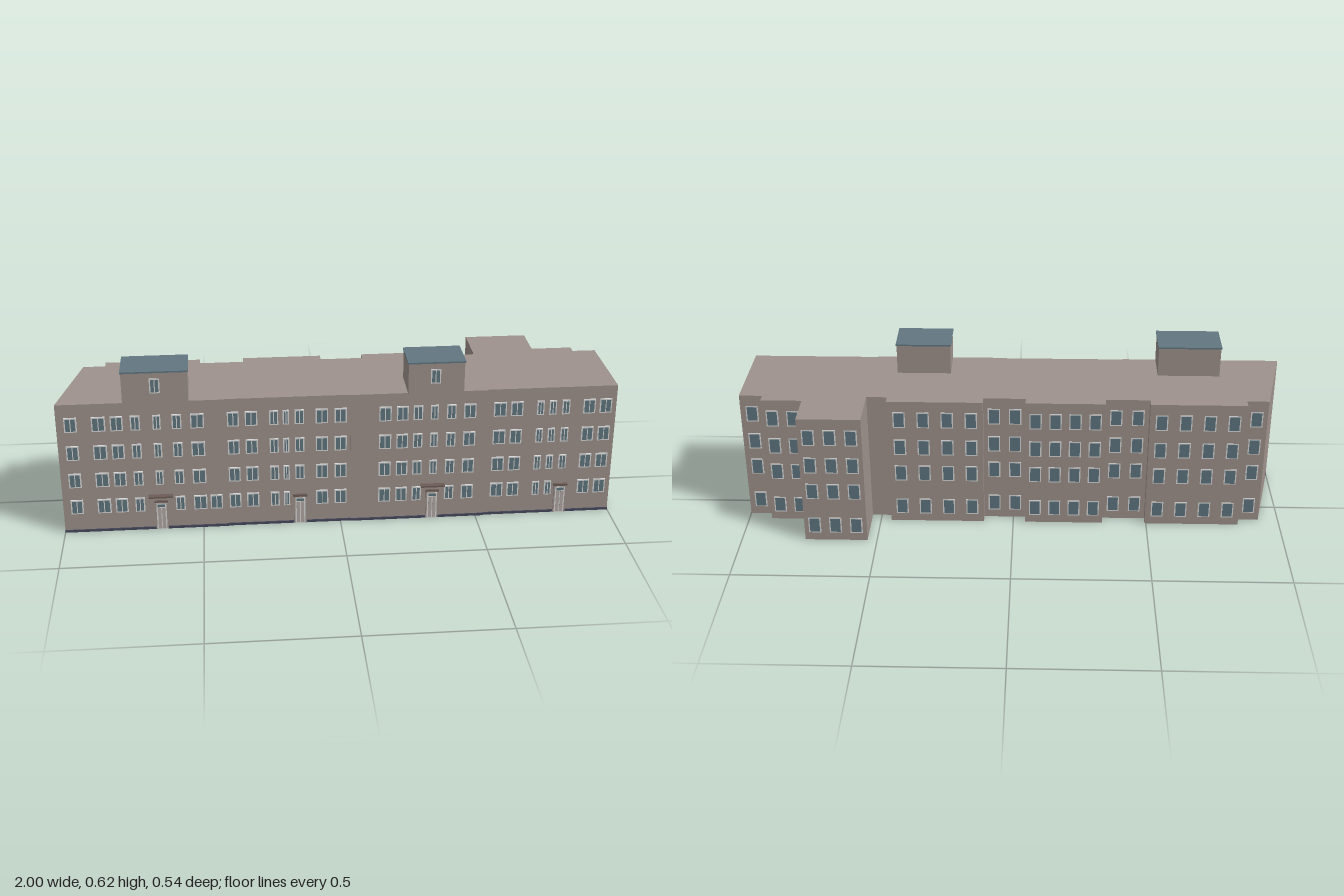
import * as THREE from 'three';
import { mergeGeometries } from 'three/addons/utils/BufferGeometryUtils.js';

const mat = (name, color) => {
  const m = new THREE.MeshStandardMaterial({ color });
  m.name = name;
  return m;
};

export function createModel() {
  const wall = mat('wall', 0x9d918c);
  const roofBlue = mat('roofBlue', 0x627781);
  const glass = mat('glass', 0x5f757f);
  const frame = mat('frame', 0xd6d7d6);
  const plinthBlue = mat('plinthBlue', 0x45485c);
  const doorGrey = mat('doorGrey', 0xb0a7a2);
  const trim = mat('trim', 0x6d5c56);
  const model = new THREE.Group();
  model.name = 'apartmentBlock';

  // Box given by its limits
  const box = (x0, x1, y0, y1, z0, z1) =>
    new THREE.BoxGeometry(x1 - x0, y1 - y0, z1 - z0)
      .translate((x0 + x1) / 2, (y0 + y1) / 2, (z0 + z1) / 2);
  const add = (name, geo, material, parent = model) => {
    const mesh = new THREE.Mesh(geo, material);
    mesh.name = name;
    parent.add(mesh);
    return mesh;
  };

  // Front sections, each slightly offset: x0, x1, z
  const sections = [[-1, -0.41, 0.247], [-0.41, 0.035, 0.244], [0.035, 0.53, 0.247], [0.53, 1, 0.243]];
  const frontZ = x => sections.find(s => x <= s[1])[2];
  // Rear bays: x0, x1, z, window columns
  const bays = [
    [-0.845, -0.495, -0.125, 4], [-0.335, -0.045, -0.125, 4], [0.11, 0.46, -0.125, 4],
    [0.535, 0.765, -0.265, 3], [0.765, 0.915, -0.125, 2],
  ];
  // Recessed rear walls: x0, x1, z, window columns
  const recesses = [[-0.925, -0.845, -0.09, 1], [-0.495, -0.335, -0.09, 2], [-0.045, 0.11, -0.09, 2], [0.915, 1, -0.09, 1]];

  // Main body extruded from its ground plan
  const plan = [];
  for (const [x0, x1, z] of sections) plan.push([x0, z], [x1, z]);
  plan.push([1, -0.09]);
  let lastZ = -0.09, lastX = 1;
  for (const [x0, x1, z] of [...bays].reverse()) {
    if (x1 < lastX) {
      if (lastZ !== -0.09) plan.push([lastX, -0.09]);
      plan.push([x1, -0.09]);
    }
    plan.push([x1, z], [x0, z]);
    lastX = x0;
    lastZ = z;
  }
  plan.push([lastX, -0.09], [-0.925, -0.09]);
  const shape = new THREE.Shape(plan.map(([x, z]) => new THREE.Vector2(x, -z)));
  add('body', new THREE.ExtrudeGeometry(shape, { depth: 0.505, bevelEnabled: false }).rotateX(-Math.PI / 2), wall);

  // Plinth strip along the front
  add('plinth', mergeGeometries(sections.map(([x0, x1, z]) => box(x0, x1, 0, 0.009, z - 0.01, z + 0.004))), plinthBlue);

  // Windows: a pale frame with thin panes of glass; dir is +1 for front, -1 for rear
  const frames = [], panes = [];
  const slab = (x0, x1, y0, y1, z, depth, dir) =>
    box(x0, x1, y0, y1, Math.min(z - 0.002 * dir, z + depth * dir), Math.max(z - 0.002 * dir, z + depth * dir));
  const addWindow = (x, y, w, h, z, dir, split, depth) => {
    const b = 0.0045, x0 = x - w / 2, x1 = x + w / 2;
    frames.push(slab(x0, x1, y - h / 2, y + h / 2, z, depth, dir));
    const cuts = split ? [[x0 + b, x - b * 0.4], [x + b * 0.4, x1 - b]] : [[x0 + b, x1 - b]];
    for (const [a, c] of cuts) panes.push(slab(a, c, y - h / 2 + b, y + h / 2 - b, z, depth + 0.0012, dir));
  };

  // Front window columns: x, width
  const doorXs = [-0.65, -0.147, 0.337, 0.815];
  const columns = [
    [-0.95, 0.044], [-0.853, 0.048], [-0.79, 0.044], [-0.725, 0.034], [-0.65, 0.028], [-0.58, 0.034],
    [-0.508, 0.048], [-0.382, 0.042], [-0.318, 0.044], [-0.238, 0.032], [-0.195, 0.022], [-0.147, 0.034],
    [-0.067, 0.044], [0, 0.044], [0.16, 0.044], [0.222, 0.042], [0.278, 0.034], [0.337, 0.028], [0.398, 0.034],
    [0.465, 0.044], [0.575, 0.046], [0.636, 0.044], [0.722, 0.026], [0.767, 0.026], [0.815, 0.028],
    [0.9, 0.044], [0.96, 0.044],
  ];
  const rows = [0.103, 0.209, 0.318, 0.428];
  for (const [x, w] of columns)
    rows.forEach((y, i) => {
      if (i > 0 || !doorXs.includes(x)) addWindow(x, y, w, 0.055, frontZ(x), 1, true, 0.006);
    });
  addWindow(-0.45, rows[0], 0.044, 0.055, frontZ(-0.45), 1, true, 0.006);

  // Rear windows spaced evenly over each bay and recess
  for (const [x0, x1, z, n] of [...bays, ...recesses])
    for (let i = 0; i < n; i++)
      for (const y of [0.064, 0.208, 0.317, 0.431])
        addWindow(x0 + (x1 - x0) * (i + 0.5) / n, y, 0.045, 0.064, z, -1, false, 0.0018);

  // Roof huts with blue slab roofs
  for (const [x0, x1, xw] of [[-0.765, -0.535, -0.65], [0.24, 0.44, 0.337]]) {
    const hut = new THREE.Group();
    hut.name = 'roofHut';
    model.add(hut);
    add('hutWalls', box(x0, x1, 0.5, 0.617, 0.11, 0.25), wall, hut);
    add('hutRoof', box(x0 - 0.003, x1 + 0.003, 0.617, 0.623, 0.107, 0.254), roofBlue, hut);
    addWindow(xw, 0.568, 0.036, 0.055, 0.25, 1, true, 0.003);
  }
  add('windowFrames', mergeGeometries(frames), frame);
  add('windowPanes', mergeGeometries(panes), glass);

  // Entrances: pale surround, paired door leaves and a lintel or canopy
  doorXs.forEach((x, i) => {
    const z = frontZ(x), door = new THREE.Group();
    door.name = 'entrance';
    model.add(door);
    add('doorSurround', box(x - 0.023, x + 0.023, 0, 0.11, z - 0.002, z + 0.005), wall, door);
    add('doorFrame', box(x - 0.018, x + 0.018, 0, 0.105, z, z + 0.006), frame, door);
    for (const s of [-1, 1])
      add('doorLeaf', box(x + s * 0.0075 - 0.006, x + s * 0.0075 + 0.006, 0.004, 0.088, z, z + 0.0075), doorGrey, door);
    add('transom', box(x - 0.0135, x + 0.0135, 0.091, 0.101, z, z + 0.0075), glass, door);
    if (i % 2 === 0) {
      add('canopy', box(x - 0.044, x + 0.044, 0.134, 0.14, z - 0.002, 0.268), trim, door);
      add('lintel', box(x - 0.024, x + 0.024, 0.11, 0.116, z - 0.002, z + 0.008), trim, door);
    } else {
      add('lintel', box(x - 0.026, x + 0.026, 0.11, 0.118, z - 0.002, z + 0.009), trim, door);
    }
  });
  return model;
}
